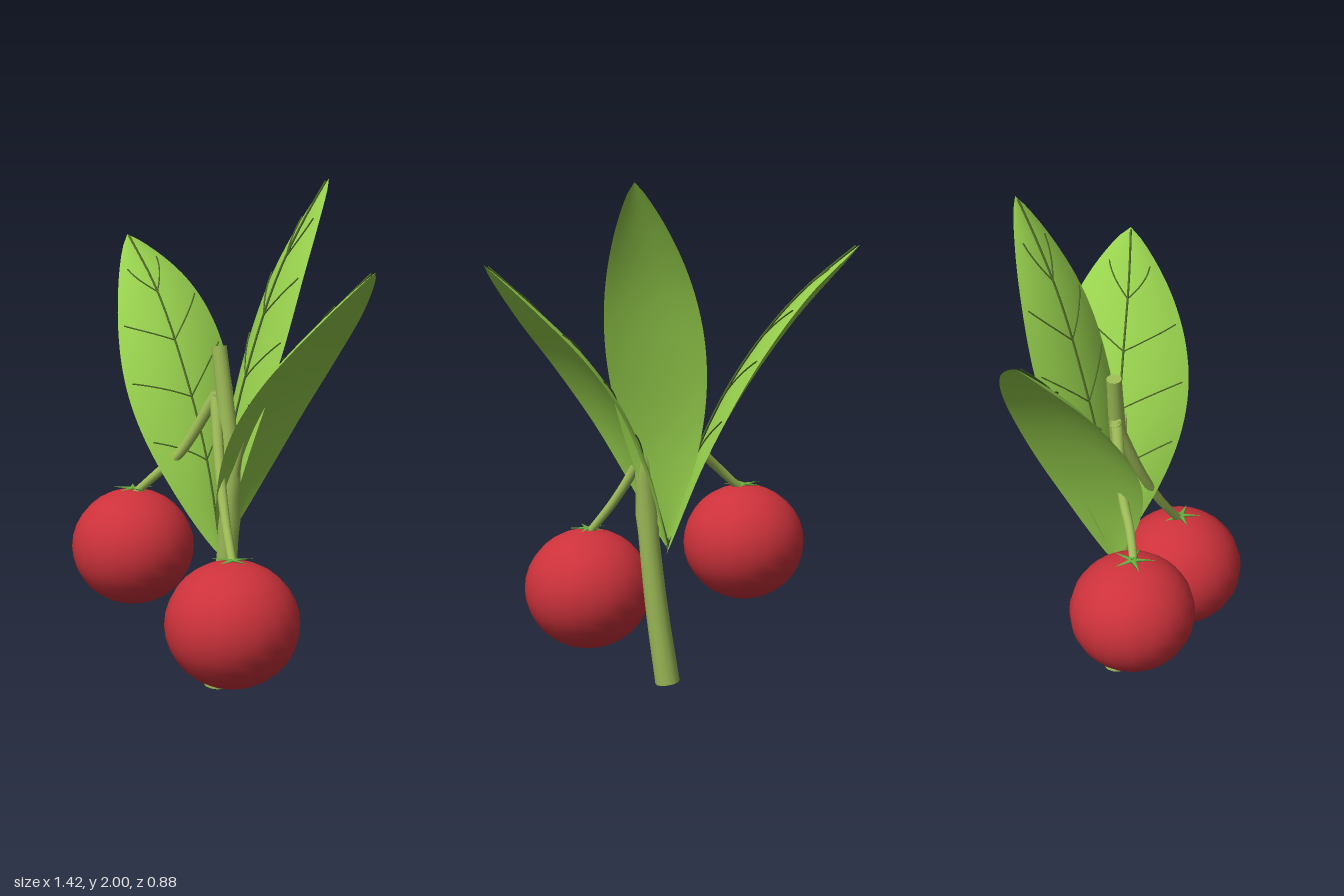
import * as THREE from 'three';

const V = (x, y, z) => new THREE.Vector3(x, y, z);
const mat = (name, color, side = THREE.FrontSide) => {
  const m = new THREE.MeshStandardMaterial({ color, side });
  m.name = name;
  return m;
};

export function createModel() {
  const model = new THREE.Group();
  const berryRed = mat('berry red', 0xcd323b);
  const leafGreen = mat('leaf green', 0x97d04d, THREE.DoubleSide);
  const stemGreen = mat('stem green', 0x9dbb57);
  const veinGreen = mat('vein dark green', 0x4f6c2a);
  const sepalGreen = mat('sepal green', 0x6cb040);

  const add = (parent, name, geometry, material) => {
    const mesh = new THREE.Mesh(geometry, material);
    mesh.name = name;
    parent.add(mesh);
    return mesh;
  };

  // Tube whose radius follows radiusAt(t), with flat end caps
  function limb(name, points, radiusAt, steps = 28) {
    const group = new THREE.Group();
    group.name = name;
    const curve = new THREE.CatmullRomCurve3(points);
    const sides = 12;
    const tube = new THREE.TubeGeometry(curve, steps, 1, sides);
    const pos = tube.attributes.position;
    const p = V(0, 0, 0);
    for (let i = 0; i < pos.count; i++) {
      const t = Math.floor(i / (sides + 1)) / steps;
      const c = curve.getPointAt(t);
      p.fromBufferAttribute(pos, i).sub(c).multiplyScalar(radiusAt(t)).add(c);
      pos.setXYZ(i, p.x, p.y, p.z);
    }
    add(group, name + 'Side', tube, stemGreen);
    for (const t of [0, 1]) {
      const cap = add(group, name + 'Cap', new THREE.CircleGeometry(radiusAt(t), sides), stemGreen);
      const dir = curve.getTangentAt(t).multiplyScalar(t ? 1 : -1);
      cap.quaternion.setFromUnitVectors(V(0, 0, 1), dir);
      cap.position.copy(curve.getPointAt(t));
    }
    model.add(group);
  }

  // Main twig with a slight knot, a tapering leaf stalk and the two berry stalks
  limb('twig', [
    V(0.017, 0.008, 0.012), V(0.058, 0.3, 0.012), V(0.088, 0.58, 0.012), V(0.1, 0.74, 0.012),
    V(0.105, 0.88, 0.008), V(0.062, 1.13, 0), V(0.02, 1.365, 0),
  ], t => 0.049 - 0.019 * t + 0.006 * Math.exp(-(((t - 0.51) / 0.04) ** 2)), 40);
  limb('leafStalk', [V(0.1, 0.74, 0.01), V(0.125, 0.9, 0.003), V(0.2, 1.12, -0.012)], t => 0.034 - 0.031 * t);
  const stalkRadius = t => 0.024 - 0.008 * t;
  limb('leftwardStalk', [V(0.02, 1.18, 0.01), V(-0.12, 0.935, 0.085), V(-0.2, 0.845, 0.14), V(-0.285, 0.76, 0.185)], stalkRadius);
  limb('rightwardStalk', [V(0.01, 1.18, 0.01), V(0.125, 0.9, 0.08), V(0.22, 0.73, 0.13), V(0.325, 0.585, 0.18)], stalkRadius);

  // Berries, each with a small star of sepals
  function berry(name, centre, r, ry) {
    const group = new THREE.Group();
    group.name = name;
    group.position.copy(centre);
    add(group, 'fruit', new THREE.SphereGeometry(r, 20, 16), berryRed).scale.y = ry / r;
    for (let i = 0; i < 5; i++) {
      const sepal = new THREE.ConeGeometry(0.014, 0.08, 5);
      sepal.scale(1, 1, 0.35);
      sepal.rotateX(Math.PI / 2 - 0.02);
      sepal.translate(0, ry + 0.004, 0.045);
      sepal.rotateY((i * 2 * Math.PI) / 5 + 0.3);
      add(group, 'sepal', sepal, sepalGreen);
    }
    model.add(group);
  }
  berry('upperBerry', V(-0.3, 0.543, 0.185), 0.244, 0.232);
  berry('lowerBerry', V(0.33, 0.356, 0.185), 0.257, 0.243);

  // Arched leaf: t runs along the midrib, s from -1 to 1 across it, droop lowers the edges
  function leaf(name, ribPoints, half, droop) {
    const group = new THREE.Group();
    group.name = name;
    const rib = new THREE.CatmullRomCurve3(ribPoints);
    const width = t => Math.max(0, Math.sin(Math.PI * t ** 1.1)) ** 0.8;
    const surface = (t, s, lift = 0) => {
      const up = rib.getTangentAt(t).cross(half).normalize();
      const w = width(t);
      return rib.getPointAt(t).addScaledVector(half, s * w).addScaledVector(up, droop * w * (0.4 - s * s) + lift);
    };

    // Blade grid
    const nt = 36, ns = 12;
    const blade = new THREE.PlaneGeometry(1, 1, ns, nt);
    const pos = blade.attributes.position;
    for (let j = 0; j <= nt; j++) {
      for (let i = 0; i <= ns; i++) {
        const p = surface(1 - j / nt, 1 - (2 * i) / ns);
        pos.setXYZ(j * (ns + 1) + i, p.x, p.y, p.z);
      }
    }
    blade.computeVertexNormals();
    add(group, 'blade', blade, leafGreen);

    // Midrib and forward-swept side veins just above the blade
    const vein = (label, at, r) => {
      const pts = Array.from({ length: 13 }, (_, i) => at(i / 12));
      add(group, label, new THREE.TubeGeometry(new THREE.CatmullRomCurve3(pts), 20, r, 5), veinGreen);
    };
    vein('midrib', k => surface(0.02 + 0.97 * k, 0, 0.0055), 0.0045);
    for (const [t, reach] of [[0.26, 0.9], [0.44, 0.9], [0.61, 0.88], [0.77, 0.65]]) {
      for (const side of [-1, 1]) {
        vein('sideVein', k => surface(t + 0.115 * k, side * reach * k, 0.004), 0.003);
      }
    }
    model.add(group);
  }
  leaf('leftwardLeaf', [
    V(0.022, 0.535, -0.005), V(-0.1, 0.9, -0.02), V(-0.27, 1.24, -0.035), V(-0.48, 1.53, -0.068), V(-0.712, 1.755, -0.098),
  ], V(0, -0.075, 0.243), 0.055);
  leaf('rightwardLeaf', [
    V(0.015, 0.555, -0.01), V(0.12, 0.87, -0.03), V(0.225, 1.1, -0.05), V(0.37, 1.315, -0.08), V(0.55, 1.515, -0.12), V(0.711, 1.685, -0.165),
  ], V(-0.065, 0.04, -0.262), 0.055);
  leaf('backLeaf', [
    V(0.017, 0.58, -0.005), V(0.035, 1, -0.07), V(0.062, 1.35, -0.165), V(0.092, 1.62, -0.255), V(0.122, 1.82, -0.345), V(0.155, 2, -0.44),
  ], V(-0.187, 0, -0.07), 0.04);

  return model;
}
